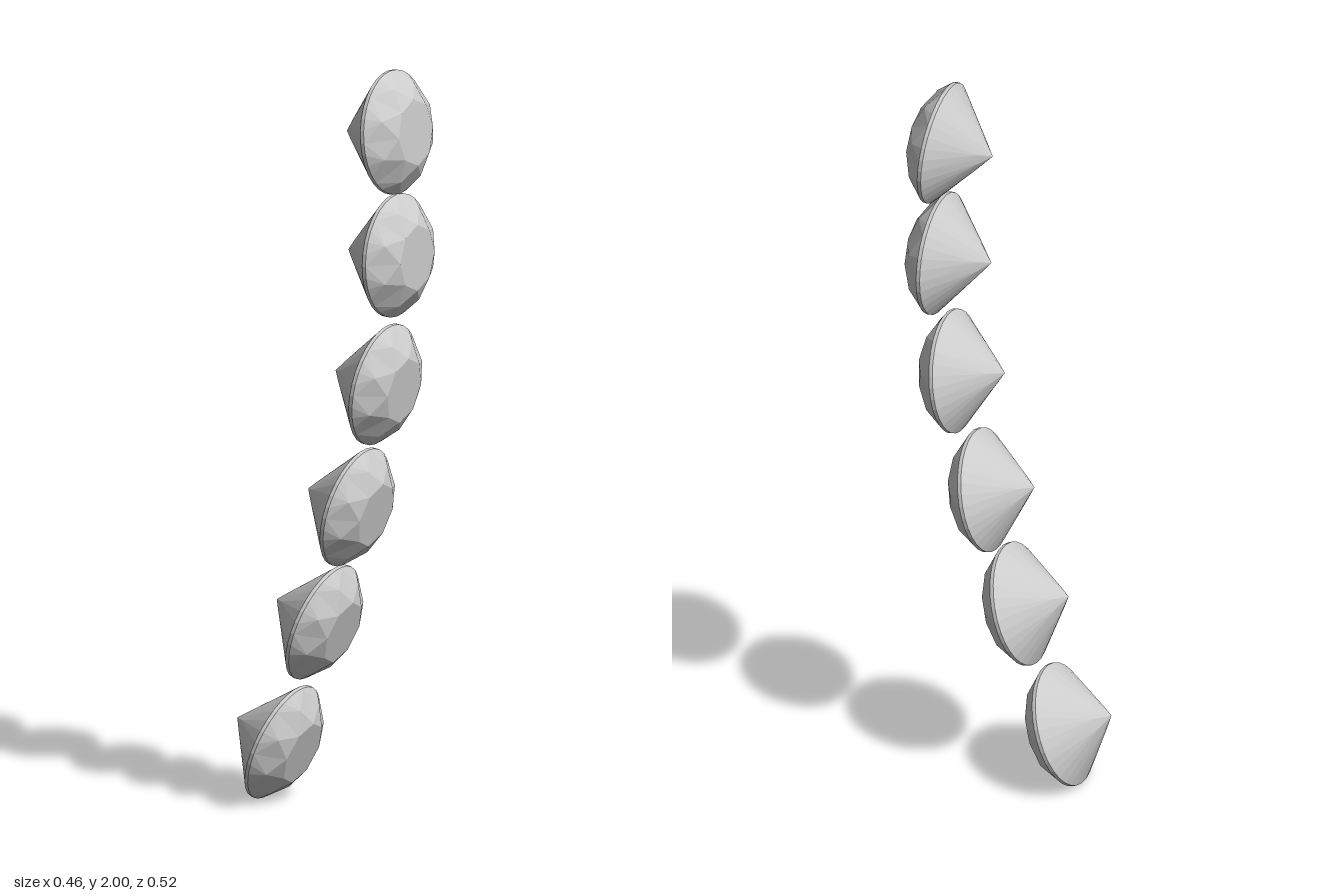
import * as THREE from 'three';

const R = 0.164, SIDES = 32; // girdle radius and sides
const TABLE_Z = 0.067, MID_Z = 0.041, GIRDLE = 0.005, DEPTH = 0.143;

// Round brilliant cut, with its table facing +z and its tip on -z
function brilliantGeometry() {
  const pos = [];
  const at = (r, step, z) => {
    const a = (step / SIDES) * Math.PI * 2;
    return [r * Math.cos(a), r * Math.sin(a), z];
  };
  const tri = (a, b, c) => pos.push(...a, ...b, ...c);
  const table = s => at(R * 0.54, s, TABLE_Z);
  const mid = s => at(R * 0.82, s, MID_Z);
  const top = s => at(R, s, GIRDLE);
  const bottom = s => at(R, s, -GIRDLE);
  const low = s => at(R * 0.22, s, -DEPTH * 0.8);
  const tip = [0, 0, -DEPTH];

  for (let s = 0; s < SIDES; s += 4) {
    const m = s + 2, n = s + 4;
    // table and star facets
    tri([0, 0, TABLE_Z], table(s), table(n));
    tri(table(s), mid(m), table(n));
    // kite facets
    tri(table(s), mid(s - 2), top(s));
    tri(table(s), top(s), mid(m));
    // pavilion main facets
    tri(tip, low(m), bottom(s));
    tri(tip, bottom(s), low(s - 2));
    for (let i = s; i < n; i++) {
      // upper halves, girdle band and lower halves
      tri(mid(m), top(i), top(i + 1));
      tri(top(i), bottom(i), bottom(i + 1));
      tri(top(i), bottom(i + 1), top(i + 1));
      tri(low(m), bottom(i + 1), bottom(i));
    }
  }
  const geo = new THREE.BufferGeometry();
  geo.setAttribute('position', new THREE.Float32BufferAttribute(pos, 3));
  geo.computeVertexNormals();
  return geo;
}

export function createModel() {
  const group = new THREE.Group();
  group.name = 'gemDrop';
  const geo = brilliantGeometry();
  const mat = new THREE.MeshStandardMaterial({ color: 0xcccccc, flatShading: true });

  // centre of each gem and the direction its table faces
  const gems = [
    [[0.074, 1.836, 0.16], [0.475, 0.085, 0.875]],
    [[0.079, 1.505, 0.16], [0.475, 0, 0.88]],
    [[0.057, 1.155, 0.13], [0.48, -0.155, 0.863]],
    [[0.018, 0.816, 0.053], [0.48, -0.24, 0.84]],
    [[-0.027, 0.495, -0.037], [0.475, -0.33, 0.814]],
    [[-0.083, 0.159, -0.147], [0.47, -0.36, 0.806]],
  ];
  gems.forEach(([centre, dir], i) => {
    const gem = new THREE.Mesh(geo, mat);
    gem.name = `gem${i + 1}`;
    gem.position.set(...centre);
    gem.lookAt(new THREE.Vector3(...centre).add(new THREE.Vector3(...dir)));
    group.add(gem);
  });
  return group;
}
